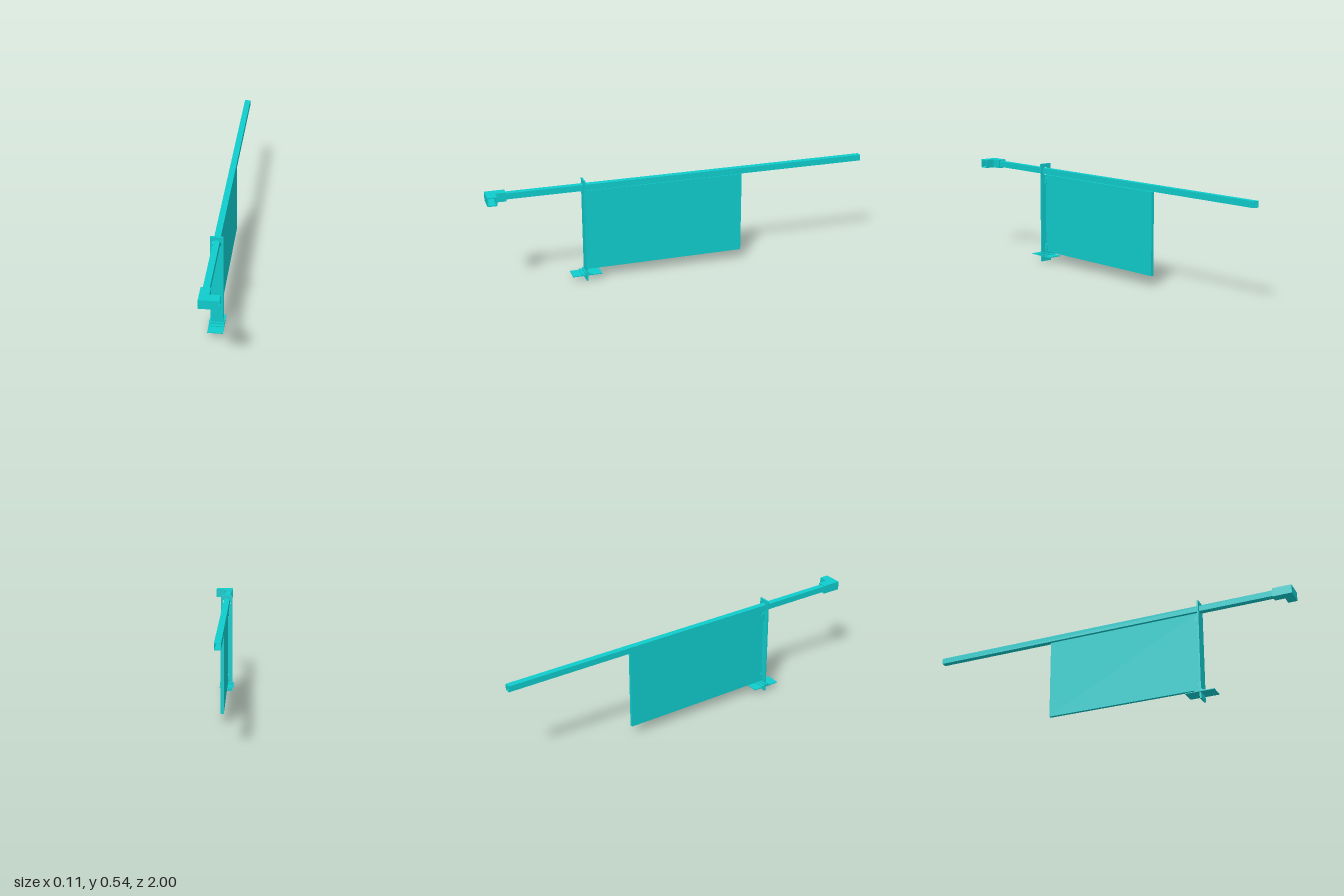
import * as THREE from 'three';

const material = new THREE.MeshStandardMaterial({ color: 0x10cccc, flatShading: true });
const CX = -0.017; // centre line of post, rail and panel
const RAIL_Y = 0.5;
const POST_Z = 0.51;

function add(parent, name, geometry) {
  const mesh = new THREE.Mesh(geometry, material);
  mesh.name = name;
  parent.add(mesh);
  return mesh;
}

// Box given by its limits on each axis
function box(parent, name, x0, x1, y0, y1, z0, z1) {
  const mesh = add(parent, name, new THREE.BoxGeometry(x1 - x0, y1 - y0, z1 - z0));
  mesh.position.set((x0 + x1) / 2, (y0 + y1) / 2, (z0 + z1) / 2);
  return mesh;
}

function polygon(points) {
  return new THREE.Shape(points.map(([x, y]) => new THREE.Vector2(x, y)));
}

function extrude(shape, depth) {
  return new THREE.ExtrudeGeometry(shape, { depth, bevelEnabled: false, curveSegments: 16 });
}

function square(h) {
  return [[-h, -h], [h, -h], [h, h], [-h, h]];
}

export function createModel() {
  const model = new THREE.Group();
  model.name = 'railing';

  // Hollow square handrail
  const railShape = polygon(square(0.0155));
  railShape.holes.push(polygon(square(0.0125)));
  add(model, 'handrail', extrude(railShape, 1.95)).position.set(CX, RAIL_Y, -1);

  // Flat post with a round hole for the rail
  const postShape = polygon([[-0.032, 0], [0.032, 0], [0.032, 0.54], [-0.032, 0.54]]);
  const hole = new THREE.Path();
  hole.absarc(0, RAIL_Y, 0.022, 0, Math.PI * 2, true);
  postShape.holes.push(hole);
  add(model, 'post', extrude(postShape, 0.008)).position.set(CX + 0.001, 0, POST_Z - 0.004);

  // Infill panel
  box(model, 'panel', CX - 0.008, CX + 0.008, 0.055, 0.48, -0.33, 0.498);

  // Chamfered lugs joining panel and post
  const lugShape = polygon([
    [-0.012, -0.012], [-0.005, -0.02], [0.008, -0.02],
    [0.008, 0.02], [-0.005, 0.02], [-0.012, 0.012],
  ]);
  for (const y of [0.08, 0.447]) {
    const lug = add(model, 'panelLug', extrude(lugShape, 0.022));
    lug.rotation.y = -Math.PI / 2; // shape x runs along z
    lug.position.set(CX + 0.011, y, 0.498);
  }

  // Base plate and stepped collar around the post
  const base = new THREE.Group();
  base.name = 'base';
  model.add(base);
  box(base, 'basePlate', -0.057, 0.02, 0.031, 0.035, 0.433, 0.585);
  box(base, 'collarFoot', -0.057, 0.02, 0.035, 0.04, 0.483, 0.537);
  box(base, 'collar', -0.057, 0.02, 0.04, 0.048, 0.498, 0.522);

  // Hollow elbow at the front end of the rail, open at both ends
  const elbow = new THREE.Group();
  elbow.name = 'elbow';
  model.add(elbow);
  const t = 0.005, y0 = 0.477, y1 = 0.523;
  const outline = polygon([
    [-0.041, -1], [0.055, -1], [0.055, -0.952],
    [0.005, -0.952], [0.005, -0.9], [-0.041, -0.9],
  ]);
  for (const y of [y0, y1 - t]) {
    const plate = add(elbow, 'elbowPlate', extrude(outline, t));
    plate.rotation.x = -Math.PI / 2; // outline lies flat, shape y = -z
    plate.position.y = y;
  }
  const w0 = y0 + t, w1 = y1 - t;
  box(elbow, 'elbowOuterSide', -0.041, -0.041 + t, w0, w1, 0.9, 1);
  box(elbow, 'elbowFront', -0.041 + t, 0.055, w0, w1, 1 - t, 1);
  box(elbow, 'elbowInnerSide', 0.005 - t, 0.005, w0, w1, 0.9, 0.952 + t);
  box(elbow, 'elbowBack', 0.005, 0.055, w0, w1, 0.952, 0.952 + t);

  return model;
}
